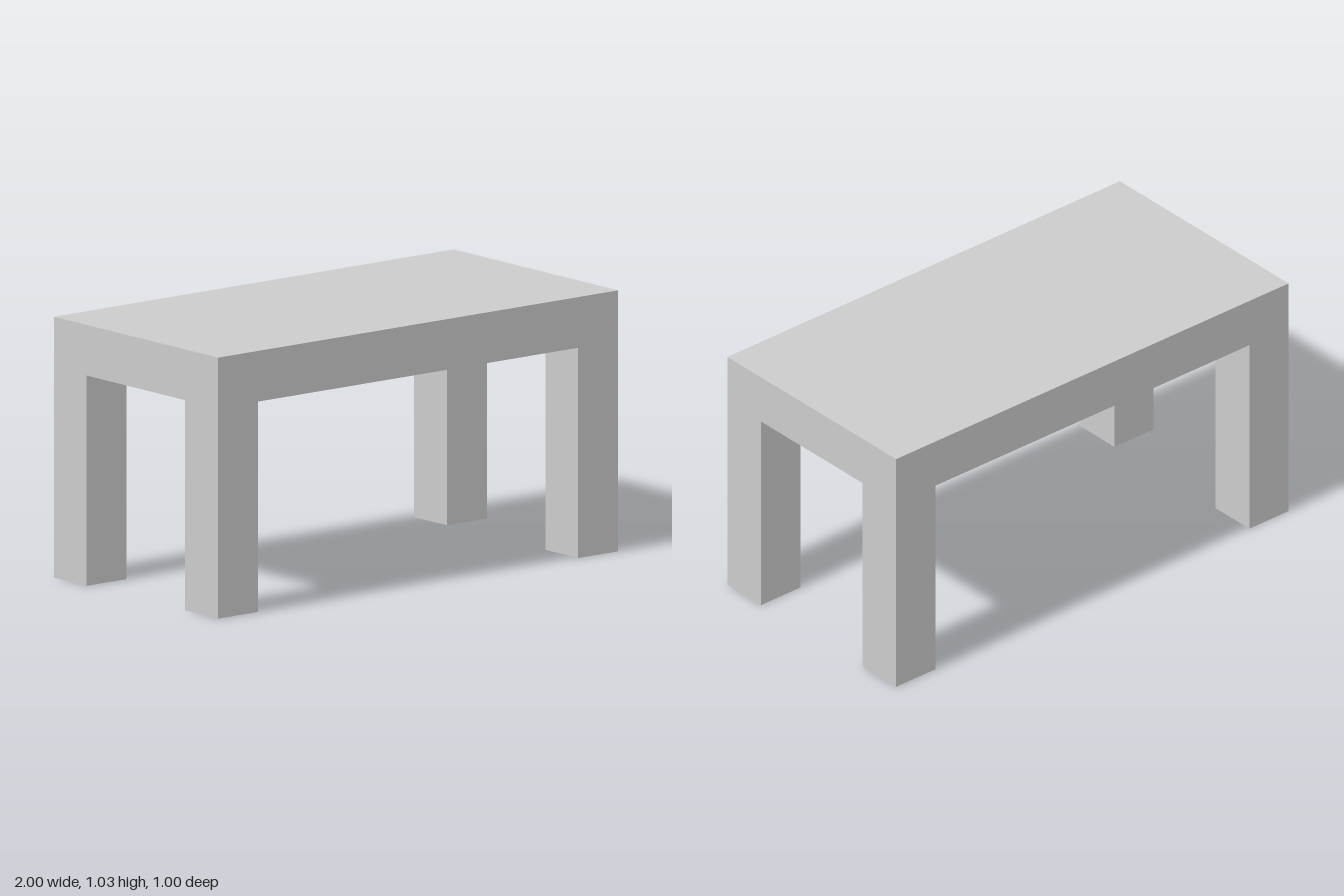
import * as THREE from 'three';

const LENGTH = 2, DEPTH = 1, HEIGHT = 1.03;
const LEG = 0.2;         // square leg width
const UNDERSIDE = 0.83;  // height of the slab's lower face

export function createModel() {
  const table = new THREE.Group();
  table.name = 'table';
  const material = new THREE.MeshStandardMaterial({ color: 0xcccccc, flatShading: true });

  // Box standing on height y
  const addBox = (name, w, h, d, x, y, z) => {
    const mesh = new THREE.Mesh(new THREE.BoxGeometry(w, h, d), material);
    mesh.name = name;
    mesh.position.set(x, y + h / 2, z);
    table.add(mesh);
  };

  // Thick top slab
  addBox('tabletop', LENGTH, HEIGHT - UNDERSIDE, DEPTH, 0, UNDERSIDE, 0);

  // Four legs, flush with the corners of the slab
  for (const [xName, sx] of [['Left', 1], ['Right', -1]]) {
    for (const [zName, sz] of [['front', 1], ['back', -1]]) {
      addBox(`${zName}${xName}Leg`, LEG, UNDERSIDE, LEG,
        sx * (LENGTH - LEG) / 2, 0, sz * (DEPTH - LEG) / 2);
    }
  }

  return table;
}
